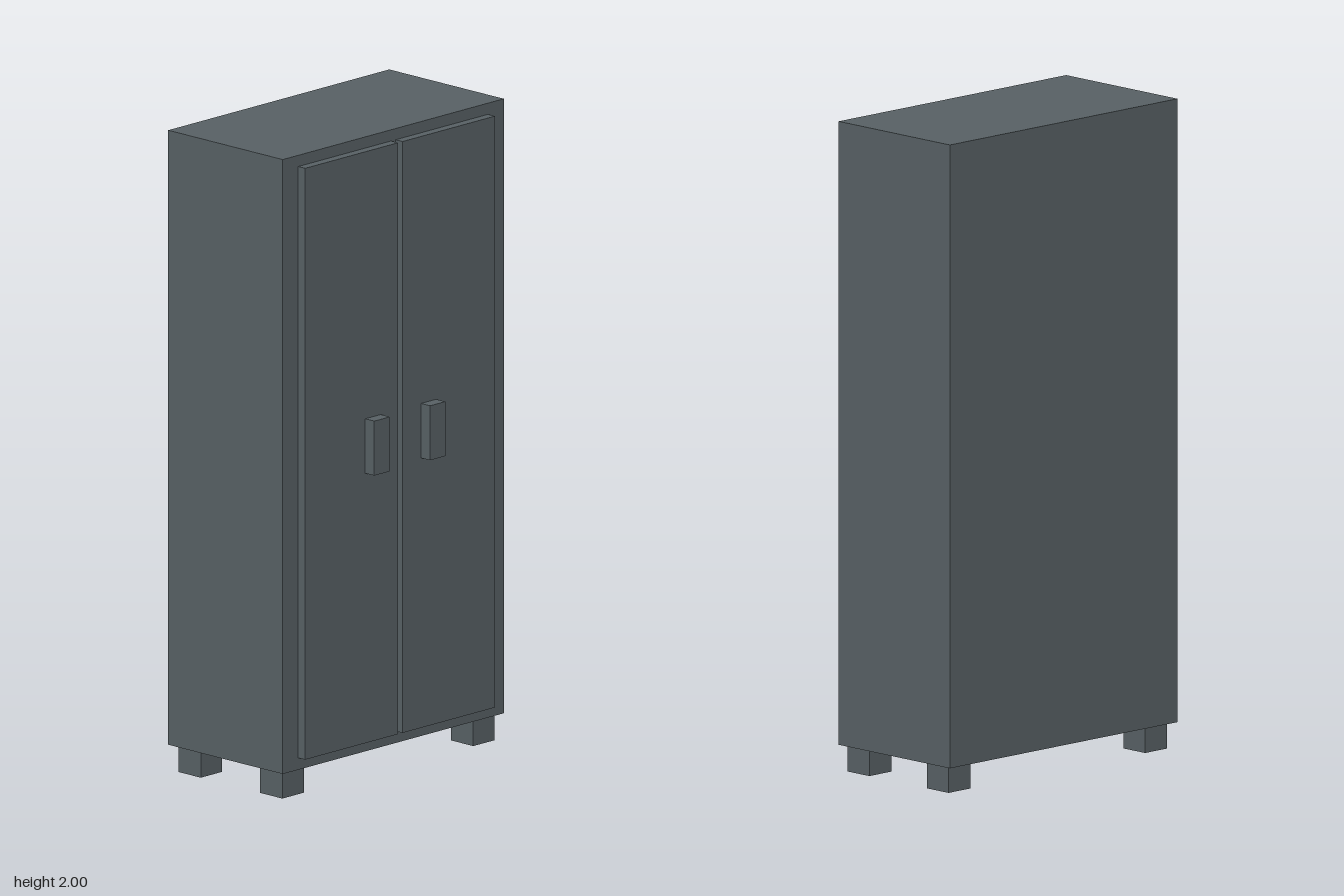
import * as THREE from 'three';

export function createModel() {
  const group = new THREE.Group();
  const greyMetal = new THREE.MeshStandardMaterial({ color: 0x586165 });
  greyMetal.name = 'slate grey';

  // Box given by its extents on each axis
  function box(name, [x0, x1], [y0, y1], [z0, z1]) {
    const mesh = new THREE.Mesh(new THREE.BoxGeometry(x1 - x0, y1 - y0, z1 - z0), greyMetal);
    mesh.position.set((x0 + x1) / 2, (y0 + y1) / 2, (z0 + z1) / 2);
    mesh.name = name;
    group.add(mesh);
  }

  // Cabinet body
  box('body', [-0.479, 0.479], [0.083, 2], [-0.274, 0.205]);

  // Doors and their slightly offset handles
  const sides = [
    { side: 'right', door: [-0.412, -0.01], handle: [-0.152, -0.085], leg: [-0.463, -0.37] },
    { side: 'left', door: [0.01, 0.41], handle: [0.09, 0.156], leg: [0.364, 0.457] },
  ];
  for (const { side, door, handle, leg } of sides) {
    box(side + 'Door', door, [0.12, 1.965], [0.205, 0.234]);
    box(side + 'Handle', handle, [0.962, 1.132], [0.234, 0.272]);

    // Square feet, front and back
    box(side + 'FrontFoot', leg, [0, 0.083], [0.095, 0.188]);
    box(side + 'BackFoot', leg, [0, 0.083], [-0.246, -0.153]);
  }
  return group;
}
